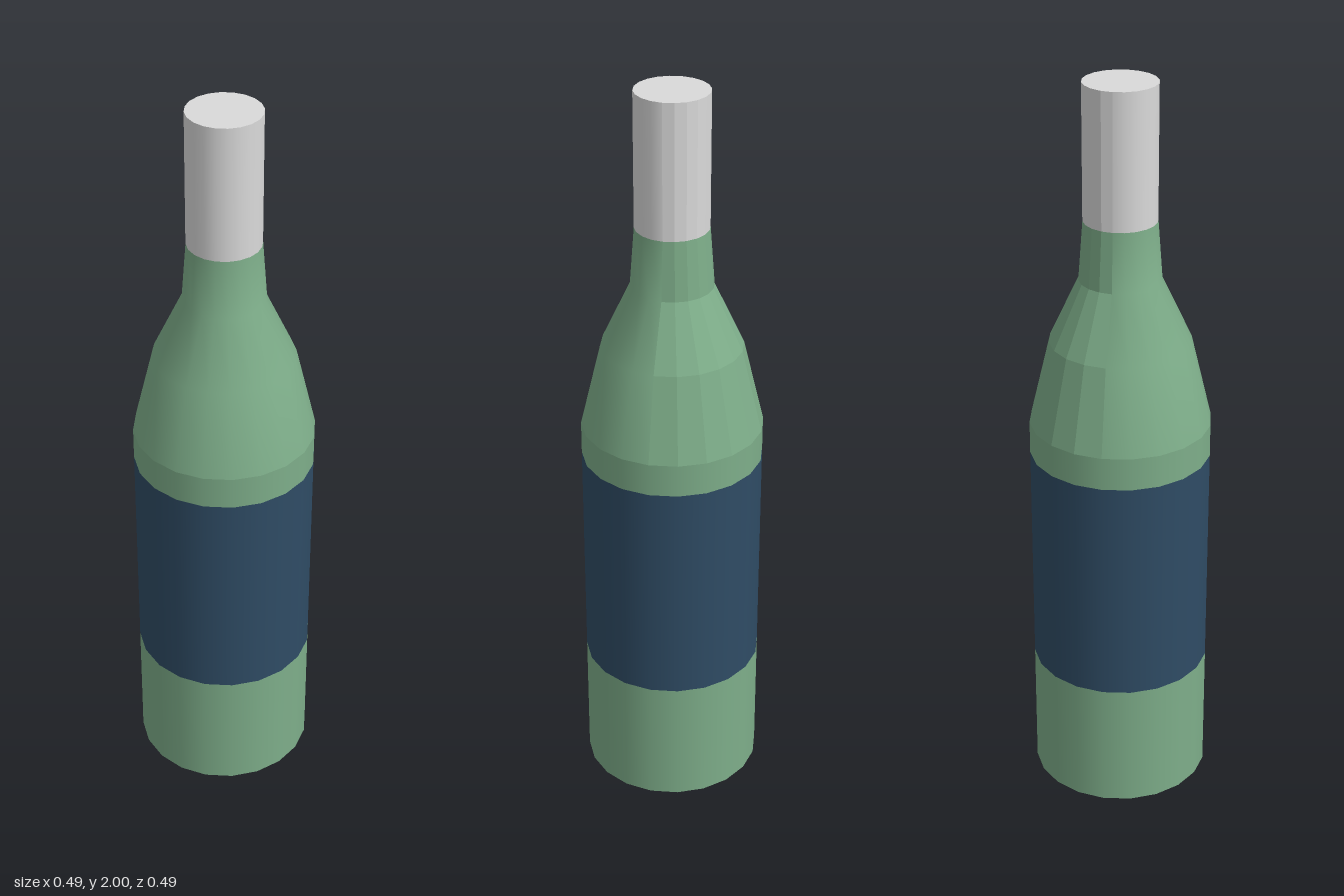
import * as THREE from 'three';

const SIDES = 20;
const STEP = (Math.PI * 2) / SIDES;

const material = (name, color) => {
  const m = new THREE.MeshStandardMaterial({ color });
  m.name = name;
  return m;
};

export function createModel() {
  const glass = material('green glass', 0x7eae8a);
  const paper = material('navy label', 0x2f4c65);
  const foil = material('silver foil', 0xdadada);

  const bottle = new THREE.Group();
  bottle.name = 'bottle';

  const add = (parent, name, geometry, mat) => {
    const mesh = new THREE.Mesh(geometry, mat);
    mesh.name = name;
    parent.add(mesh);
    return mesh;
  };

  // Turned surface from [radius, height] pairs, covering part of the circle
  const turned = (profile, first = 0, count = SIDES) =>
    new THREE.LatheGeometry(
      profile.map(([r, y]) => new THREE.Vector2(r, y)), count, first * STEP, count * STEP);

  // Smooth around the front, faceted over the eight rear sides
  const halfFaceted = (name, profile, mat) => {
    const part = new THREE.Group();
    part.name = name;
    add(part, name + 'Front', turned(profile, 14, 12), mat);
    const rear = turned(profile, 6, 8).toNonIndexed();
    rear.computeVertexNormals();
    add(part, name + 'Rear', rear, mat);
    bottle.add(part);
  };

  // Flat end disc, corners aligned with the turned sides
  const disc = (name, radius, y, up, mat) => {
    const geometry = new THREE.CircleGeometry(radius, SIDES);
    geometry.rotateX(up ? -Math.PI / 2 : Math.PI / 2);
    add(bottle, name, geometry, mat).position.y = y;
  };

  // Body
  disc('base', 0.243, 0, false, glass);
  add(bottle, 'lowerBody', turned([[0.243, 0], [0.243, 0.36]]), glass);
  add(bottle, 'label', turned([[0.243, 0.36], [0.243, 0.99]]), paper);
  add(bottle, 'upperBody', turned([[0.243, 0.99], [0.243, 1.08]]), glass);

  // Shoulder and neck
  halfFaceted('shoulder', [[0.243, 1.08], [0.188, 1.31], [0.109, 1.48], [0.097, 1.64]], glass);

  // Foil cap
  halfFaceted('cap', [[0.097, 1.64], [0.097, 2]], foil);
  disc('capTop', 0.097, 2, true, foil);

  return bottle;
}
